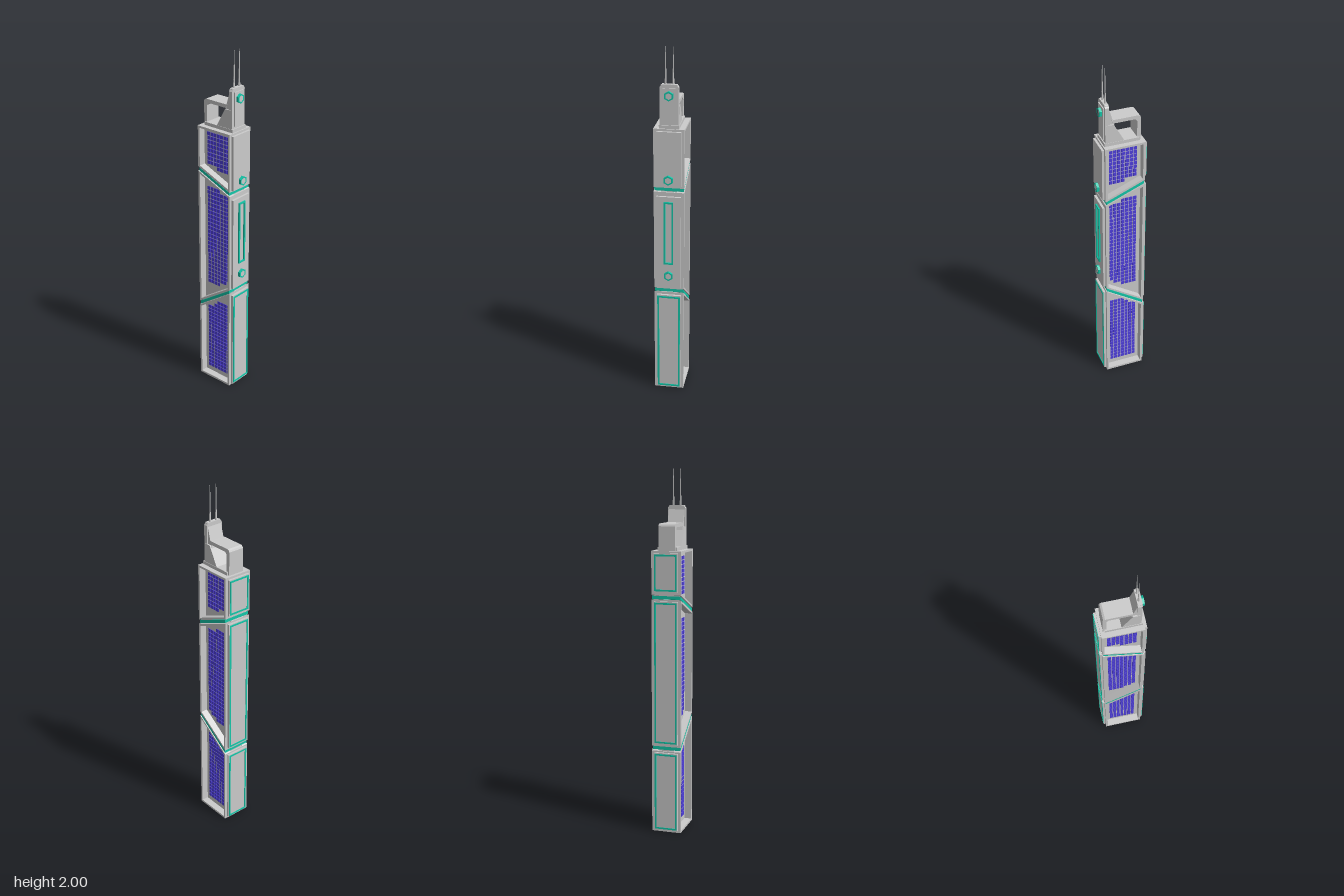
import * as THREE from 'three';
import { mergeGeometries } from 'three/addons/utils/BufferGeometryUtils.js';

const grey = new THREE.MeshStandardMaterial({ color: 0xcccccc, side: THREE.DoubleSide, flatShading: true });
const teal = new THREE.MeshStandardMaterial({ color: 0x14c8aa });
const blue = new THREE.MeshStandardMaterial({ color: 0x4f40dc });

const XL = -0.118, XR = 0.105, ZF = 0.083, RECESS = 0.04;
// straight line through heights at the two side walls
const line = (yl, yr) => (x) => yl + (yr - yl) * (x - XL) / (XR - XL);

export function createModel() {
  const root = new THREE.Group();
  root.name = 'skyscraper';

  const add = (name, geo, mat = grey, parent = root) => {
    const m = new THREE.Mesh(geo, mat);
    m.name = name;
    parent.add(m);
    return m;
  };
  const box = (name, x0, x1, y0, y1, z0, z1, parent = root) =>
    add(name, new THREE.BoxGeometry(x1 - x0, y1 - y0, z1 - z0)
      .translate((x0 + x1) / 2, (y0 + y1) / 2, (z0 + z1) / 2), grey, parent);
  const poly = (pts) => pts.map(([x, y]) => new THREE.Vector2(x, y));
  // outline in x and y, extruded from z0 to z1
  const extrude = (pts, z0, z1, hole) => {
    const s = new THREE.Shape(poly(pts));
    if (hole) s.holes.push(new THREE.Path(poly(hole)));
    return new THREE.ExtrudeGeometry(s, { depth: z1 - z0, bevelEnabled: false }).translate(0, 0, z0);
  };
  // outline in z and y, extruded from x0 to x1
  const extrudeX = (pts, x0, x1, hole) => extrude(pts, x0, x1, hole).rotateY(Math.PI / 2);
  const rect = (w, y0, y1) => [[-w, y0], [w, y0], [w, y1], [-w, y1]];
  const hexagon = (r, y) => Array.from({ length: 6 }, (_, i) =>
    [r * Math.sin(i * Math.PI / 3), y + r * Math.cos(i * Math.PI / 3)]);

  // Body sections: slanted ends, and the window range of each column
  const sections = [
    { name: 'lowerSection', bot: line(0.003, 0.003), top: line(0.468, 0.622), y0: 0.045,
      first: [0, 0, 0, 0, 0, 0, 0], last: [18, 18, 19, 20, 20, 20, 20], pitch: 0.0235 },
    { name: 'middleSection', bot: line(0.495, 0.647), top: line(1.31, 1.218), y0: 0.617,
      first: [0, 0, 0, 0, 1, 1, 2], last: [25, 25, 25, 25, 24, 24, 24], pitch: 0.0241 },
    { name: 'upperSection', bot: line(1.335, 1.243), top: line(1.57, 1.57), y0: 1.324,
      first: [1, 1, 1, 0, 0, 0, 0], last: [9, 9, 9, 9, 9, 9, 9], pitch: 0.0236 },
  ];
  const quad = (s, b) => {
    const l = XL + b, r = XR - b;
    return [[l, s.bot(l) + b], [r, s.bot(r) + b], [r, s.top(r) - b], [l, s.top(l) - b]];
  };
  const PX = 0.0227, d = ZF - RECESS;
  for (const s of sections) {
    const g = new THREE.Group();
    g.name = s.name;
    root.add(g);
    const wins = [];
    for (const side of [1, -1]) {
      const span = (a, b) => (side > 0 ? [a, b] : [-b, -a]);
      add('facadeFrame', extrude(quad(s, 0), ...span(d, ZF), quad(s, 0.012)), grey, g);
      add('facadePanel', extrude(quad(s, 0.006), ...span(d - 0.004, d)), grey, g);
      s.first.forEach((f, c) => {
        for (let r = f; r < s.last[c]; r++) {
          wins.push(new THREE.BoxGeometry(PX * 0.82, s.pitch * 0.82, 0.008).translate(
            -0.085 + PX * (c + 0.45), s.y0 + s.pitch * (r + 0.45), side * (d - 0.001)));
        }
      });
    }
    add('windows', mergeGeometries(wins), blue, g);
    box('rightWall', XL, XL + 0.008, s.bot(XL), s.top(XL), -d, d, g);
    box('leftWall', XR - 0.008, XR, s.bot(XR), s.top(XR), -d, d, g);
  }
  box('roof', XL, XR, 1.558, 1.57, -d, d);

  // Slanted joints between sections: closing slabs around a glowing band
  [[sections[0], sections[1]], [sections[1], sections[2]]].forEach(([a, b]) => {
    const band = (inset, lo, hi) => {
      const l = XL + inset, r = XR - inset;
      return [[l, a.top(l) + lo], [r, a.top(r) + lo], [r, b.bot(r) + hi], [l, b.bot(l) + hi]];
    };
    add('jointCore', extrude(band(0.009, -0.01, 0.01), -0.073, 0.073));
    add('jointBand', extrude(band(0.005, 0.004, -0.004), -0.08, 0.08), teal);
  });

  // Raised side plates, outlined with teal trim
  const trim = (name, w, y0, y1, t, x0, x1) =>
    add(name, extrudeX(rect(w, y0, y1), x0, x1, rect(w - t, y0 + t, y1 - t)), teal);
  for (const [y0, y1] of [[0.015, 0.46], [0.51, 1.3], [1.35, 1.558]]) {
    box('rightSidePlate', -0.13, XL, y0, y1, -0.067, 0.067);
    trim('rightSideTrim', 0.063, y0 + 0.006, y1 - 0.006, 0.009, -0.133, -0.129);
  }
  for (const [y0, y1] of [[0.012, 0.607], [0.652, 1.195], [1.25, 1.558]]) {
    box('leftSidePlate', XR, 0.118, y0, y1, -0.067, 0.067);
  }
  trim('leftSideTrim', 0.064, 0.02, 0.6, 0.01, 0.117, 0.121);
  trim('slotTrim', 0.026, 0.8, 1.167, 0.009, 0.117, 0.126);

  // Hexagonal lamps
  const lamp = (y, x, r) => {
    add('lampRing', extrudeX(hexagon(r, y), x, x + 0.014, hexagon(r * 0.68, y)), teal);
    add('lampCentre', extrudeX(hexagon(r * 0.7, y), x, x + 0.008));
  };
  lamp(0.73, 0.118, 0.027);
  lamp(1.293, 0.118, 0.027);
  lamp(1.747, 0.097, 0.026);

  // Crown: base, open arch, stepped fin and spine
  box('crownBase', -0.096, 0.098, 1.57, 1.588, -0.054, 0.054);
  add('crownArch', extrude(
    [[-0.104, 1.57], [-0.084, 1.57], [-0.084, 1.68], [-0.073, 1.694], [0.05, 1.694],
      [0.055, 1.714], [-0.09, 1.714], [-0.1, 1.709], [-0.104, 1.7]], -0.046, 0.046));
  add('lowerFin', extrude([[-0.012, 1.585], [0.086, 1.585], [0.086, 1.69], [0.046, 1.69]], -0.052, 0.052));
  add('upperFin', extrude([[0.036, 1.67], [0.09, 1.67], [0.09, 1.803], [0.076, 1.803]], -0.044, 0.044));
  add('spine', extrudeX([[-0.05, 1.585], [0.05, 1.585], [0.05, 1.79], [0.04, 1.805], [-0.04, 1.805], [-0.05, 1.79]],
    0.07, 0.092));
  box('spinePlate', 0.092, 0.098, 1.6, 1.785, -0.034, 0.034);

  // Twin antennas
  for (const z of [-0.02, 0.02]) {
    add('antennaBase', new THREE.CylinderGeometry(0.004, 0.006, 0.05, 8).translate(0.08, 1.825, z));
    add('antenna', new THREE.CylinderGeometry(0.0012, 0.004, 0.16, 8).translate(0.08, 1.92, z));
  }
  return root;
}
